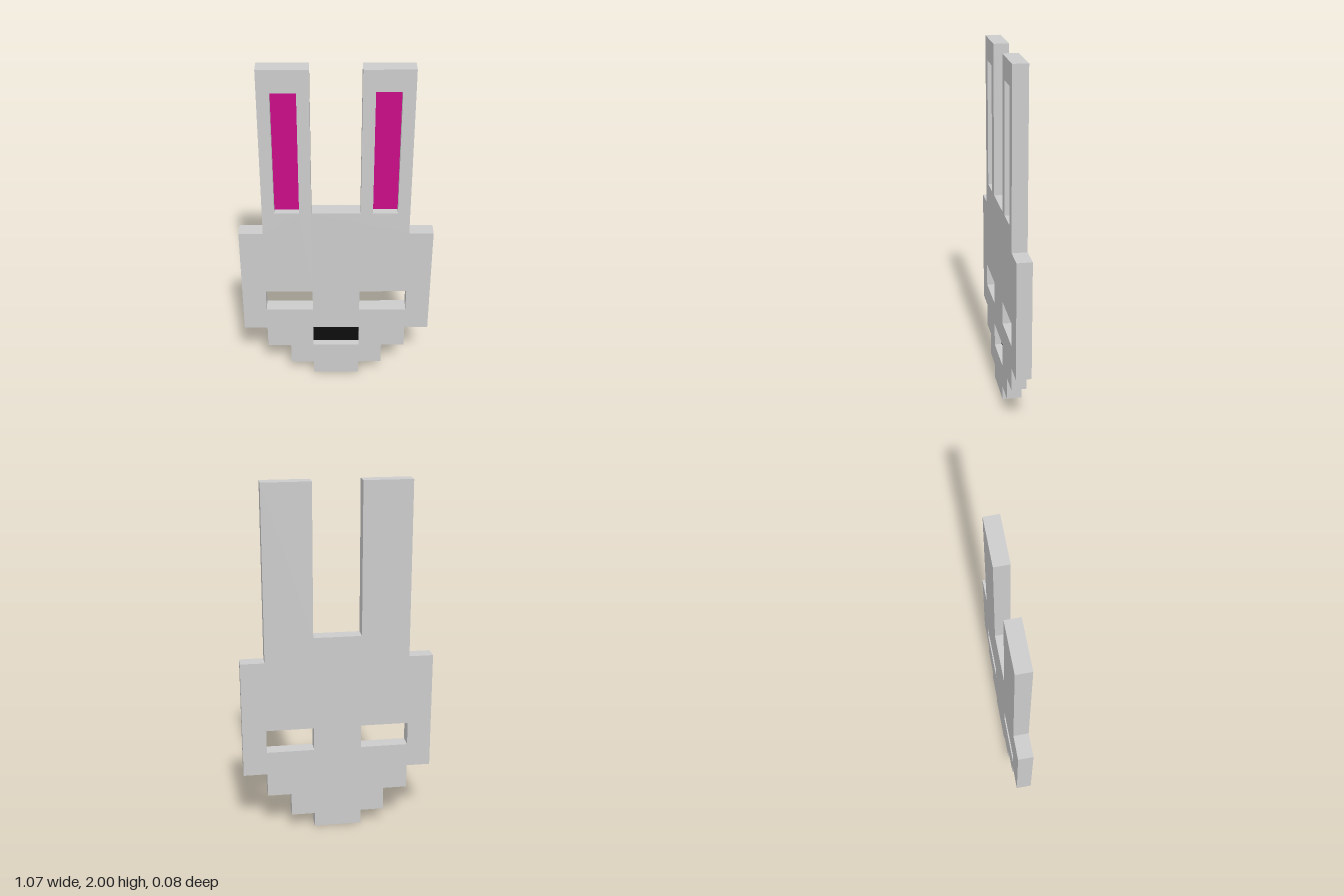
import * as THREE from 'three';
import { mergeGeometries } from 'three/addons/utils/BufferGeometryUtils.js';

const HALF = 0.042;   // half the plate thickness
const FLOOR = 0;      // depth of the recess floors

// Right half of the stepped silhouette, from chin to the notch between the ears
const halfOutline = [
  [0.134, 0], [0.134, 0.083], [0.267, 0.083], [0.267, 0.216], [0.402, 0.216],
  [0.402, 0.352], [0.536, 0.352], [0.536, 1.021], [0.402, 1.021], [0.402, 2],
  [0.134, 2], [0.134, 1.153],
];
const mirror = (points) => points.map(([x, y]) => [-x, y]).reverse();
const outline = [...halfOutline, ...mirror(halfOutline)];

// Clockwise rectangle, so its walls face into the opening
const rect = (x0, y0, x1, y1) => [[x0, y0], [x0, y1], [x1, y1], [x1, y0]];
const eyes = [rect(0.134, 0.486, 0.402, 0.619), rect(-0.402, 0.486, -0.134, 0.619)];
const recesses = [
  { name: 'leftInnerEar', color: 0xc80c86, loop: rect(0.2, 1.153, 0.335, 1.878) },
  { name: 'rightInnerEar', color: 0xc80c86, loop: rect(-0.335, 1.153, -0.2, 1.873) },
  { name: 'nose', color: 0x0d0d0d, loop: rect(-0.134, 0.216, 0.134, 0.352) },
];

const toVectors = (loop) => loop.map(([x, y]) => new THREE.Vector2(x, y));

// Flat face at a given z, with openings
function face(loop, holes, z) {
  const shape = new THREE.Shape(toVectors(loop));
  shape.holes = holes.map((h) => new THREE.Path(toVectors(h)));
  const geometry = new THREE.ShapeGeometry(shape).toNonIndexed();
  geometry.deleteAttribute('uv');
  return geometry.translate(0, 0, z);
}

// Straight walls along a closed loop between two depths
function walls(loop, z0, z1) {
  const positions = [];
  loop.forEach(([ax, ay], i) => {
    const [bx, by] = loop[(i + 1) % loop.length];
    positions.push(ax, ay, z0, bx, by, z0, bx, by, z1);
    positions.push(ax, ay, z0, bx, by, z1, ax, ay, z1);
  });
  const geometry = new THREE.BufferGeometry();
  geometry.setAttribute('position', new THREE.Float32BufferAttribute(positions, 3));
  geometry.computeVertexNormals();
  return geometry;
}

export function createModel() {
  const model = new THREE.Group();
  model.name = 'rabbitMask';

  // Plate with pierced eyes and walled recesses
  const recessLoops = recesses.map((r) => r.loop);
  const plate = new THREE.Mesh(
    mergeGeometries([
      face(outline, [...eyes, ...recessLoops], HALF),
      face(outline, eyes, 0).rotateY(Math.PI).translate(0, 0, -HALF),
      walls(outline, -HALF, HALF),
      ...eyes.map((loop) => walls(loop, -HALF, HALF)),
      ...recessLoops.map((loop) => walls(loop, FLOOR, HALF)),
    ]),
    new THREE.MeshStandardMaterial({ color: 0xcccccc, flatShading: true }),
  );
  plate.name = 'maskPlate';
  model.add(plate);

  // Coloured floors of the recesses
  for (const { name, color, loop } of recesses) {
    const panel = new THREE.Mesh(face(loop, [], FLOOR), new THREE.MeshStandardMaterial({ color }));
    panel.name = name;
    model.add(panel);
  }
  return model;
}
